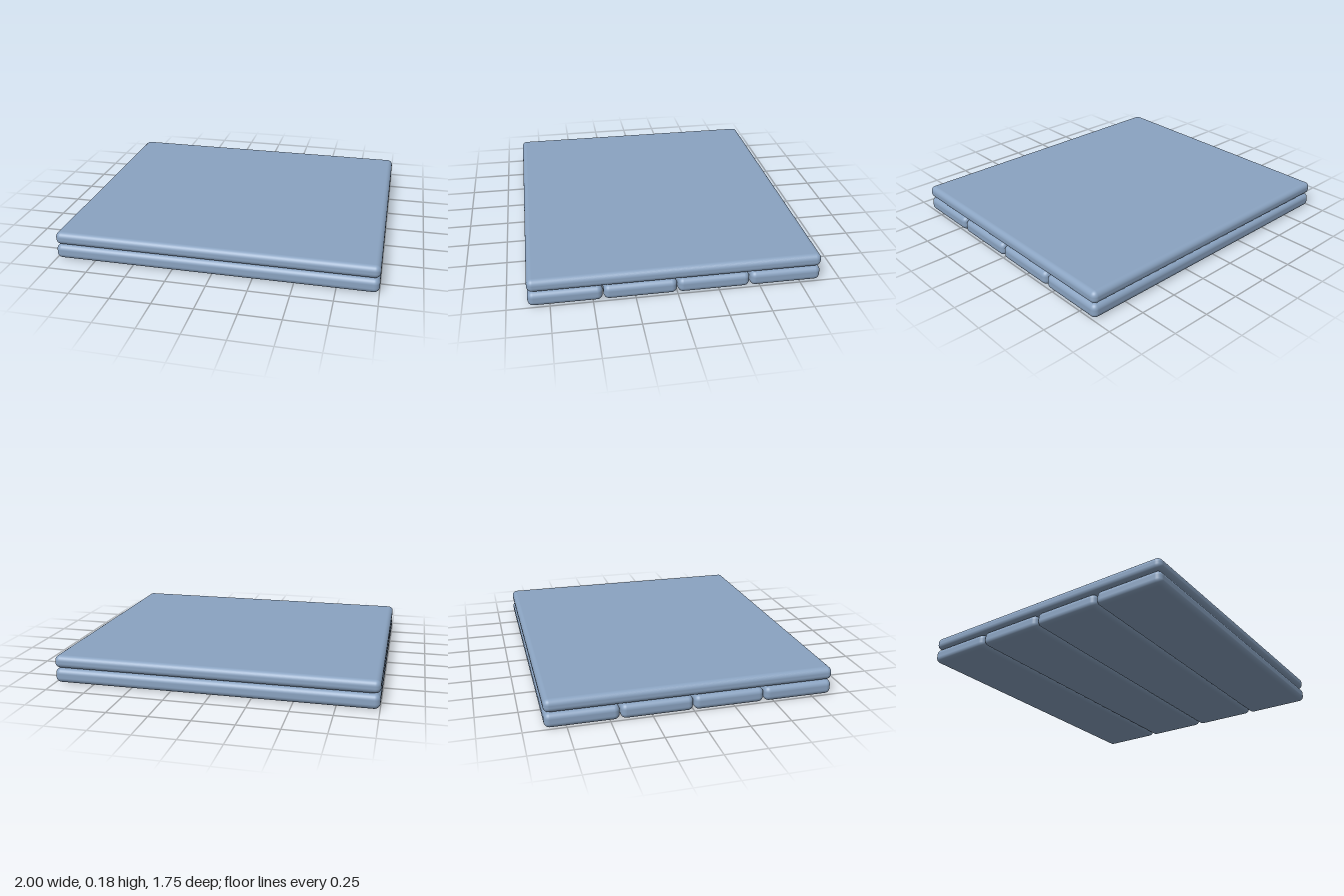
import * as THREE from 'three';
import { RoundedBoxGeometry } from 'three/addons/geometries/RoundedBoxGeometry.js';

export function createModel() {
  const group = new THREE.Group();
  const slate = new THREE.MeshStandardMaterial({ color: 0x8aa3c1 });
  slate.name = 'slateBlue';

  // soft-edged slab resting between two heights
  function slab(name, depth, y0, y1, z) {
    const geometry = new RoundedBoxGeometry(2, y1 - y0, depth, 5, 0.034);
    const mesh = new THREE.Mesh(geometry, slate);
    mesh.name = name;
    mesh.position.set(0, (y0 + y1) / 2, z);
    group.add(mesh);
  }

  // one wide board on top
  slab('topBoard', 1.754, 0.098, 0.179, 0);

  // four planks side by side underneath
  const pitch = 0.4395;
  for (let i = 0; i < 4; i++) {
    slab('plank' + (i + 1), 0.435, 0.003, 0.095, (i - 1.5) * pitch);
  }

  // stand exactly on the ground
  group.children.forEach((m) => { m.position.y -= 0.003; });
  return group;
}
